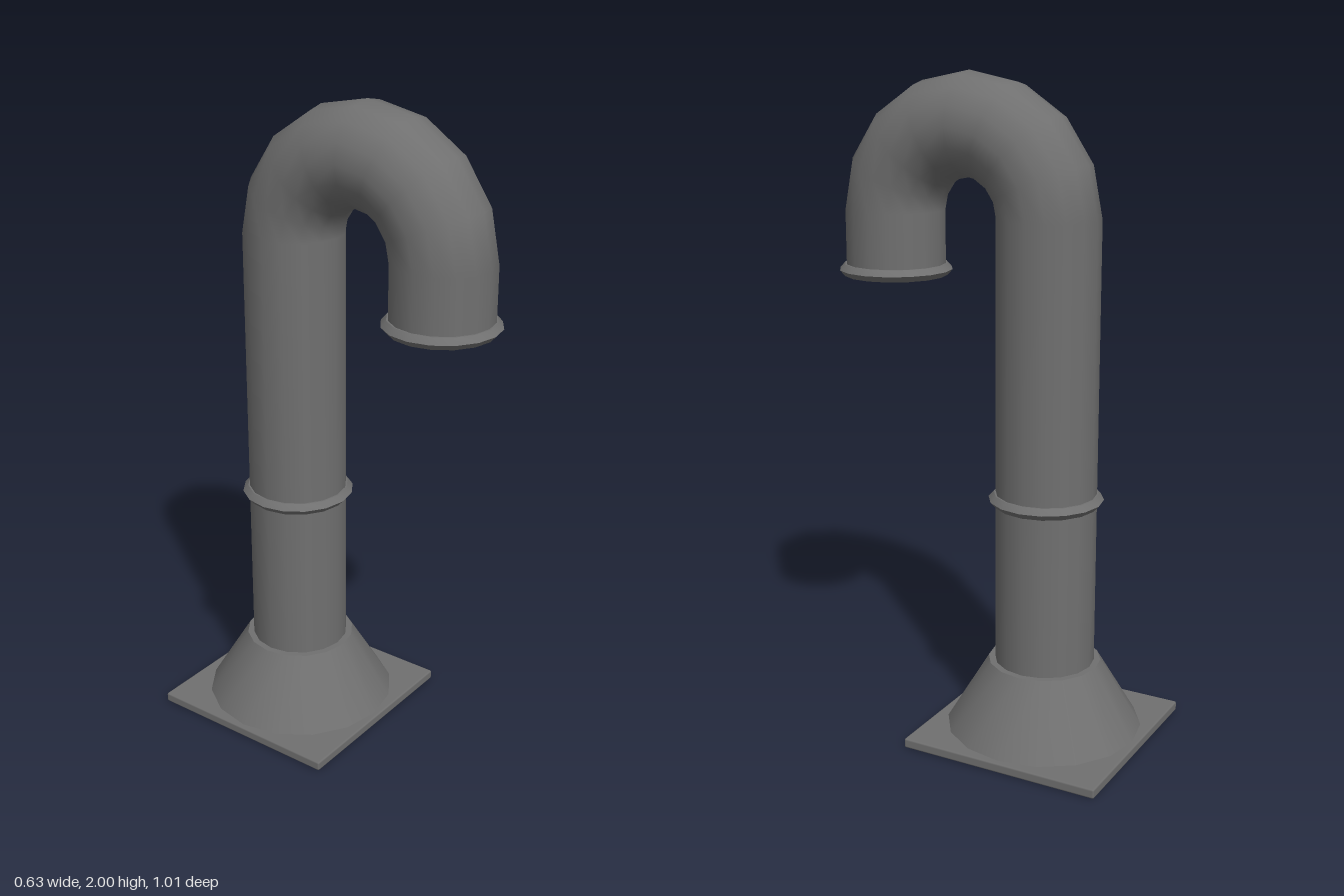
import * as THREE from 'three';
import { toCreasedNormals } from 'three/addons/utils/BufferGeometryUtils.js';
import { RoundedBoxGeometry } from 'three/addons/geometries/RoundedBoxGeometry.js';

const SIDES = 16;
const PIPE_R = 0.152;
const BEND_R = 0.258;
const BEND_Y = 2 - PIPE_R - BEND_R;
const POST_Z = -0.187;
const MOUTH_Z = POST_Z + 2 * BEND_R;
const MOUTH_Y = 1.395;

export function createModel() {
  const group = new THREE.Group();
  const material = new THREE.MeshStandardMaterial({ color: 0x707070 });

  function add(name, geometry, y, z) {
    const mesh = new THREE.Mesh(geometry, material);
    mesh.name = name;
    mesh.position.set(0, y, z);
    group.add(mesh);
  }

  // Upright or hanging cylinder/cone between two heights
  function pipe(name, rTop, rBottom, y0, y1, z) {
    add(name, new THREE.CylinderGeometry(rTop, rBottom, y1 - y0, SIDES), (y0 + y1) / 2, z);
  }

  // Collar around the pipe, with a sharp outer ridge
  function collar(name, y, z) {
    const profile = [
      [0.145, -0.018], [0.157, -0.018], [0.173, 0], [0.157, 0.018], [0.145, 0.018],
    ].map(([r, h]) => new THREE.Vector2(r, h));
    add(name, toCreasedNormals(new THREE.LatheGeometry(profile, SIDES), 0.6), y, z);
  }

  // Square mounting plate and conical flashing
  add('basePlate', new RoundedBoxGeometry(0.633, 0.03, 0.633, 1, 0.006), 0.015, POST_Z - 0.001);
  pipe('baseCone', 0.172, 0.303, 0.025, 0.242, POST_Z);

  // Vertical post, half-circle bend and short downturned mouth
  pipe('post', PIPE_R, PIPE_R, 0.2, BEND_Y, POST_Z);
  const bend = new THREE.TorusGeometry(BEND_R, PIPE_R, SIDES, 8, Math.PI);
  bend.rotateY(Math.PI / 2);
  add('bend', bend, BEND_Y, POST_Z + BEND_R);
  pipe('mouth', PIPE_R, PIPE_R, MOUTH_Y, BEND_Y, MOUTH_Z);

  // Collars on the post and at the mouth
  collar('postCollar', 0.758, POST_Z);
  collar('mouthCollar', 1.41, MOUTH_Z);

  return group;
}
